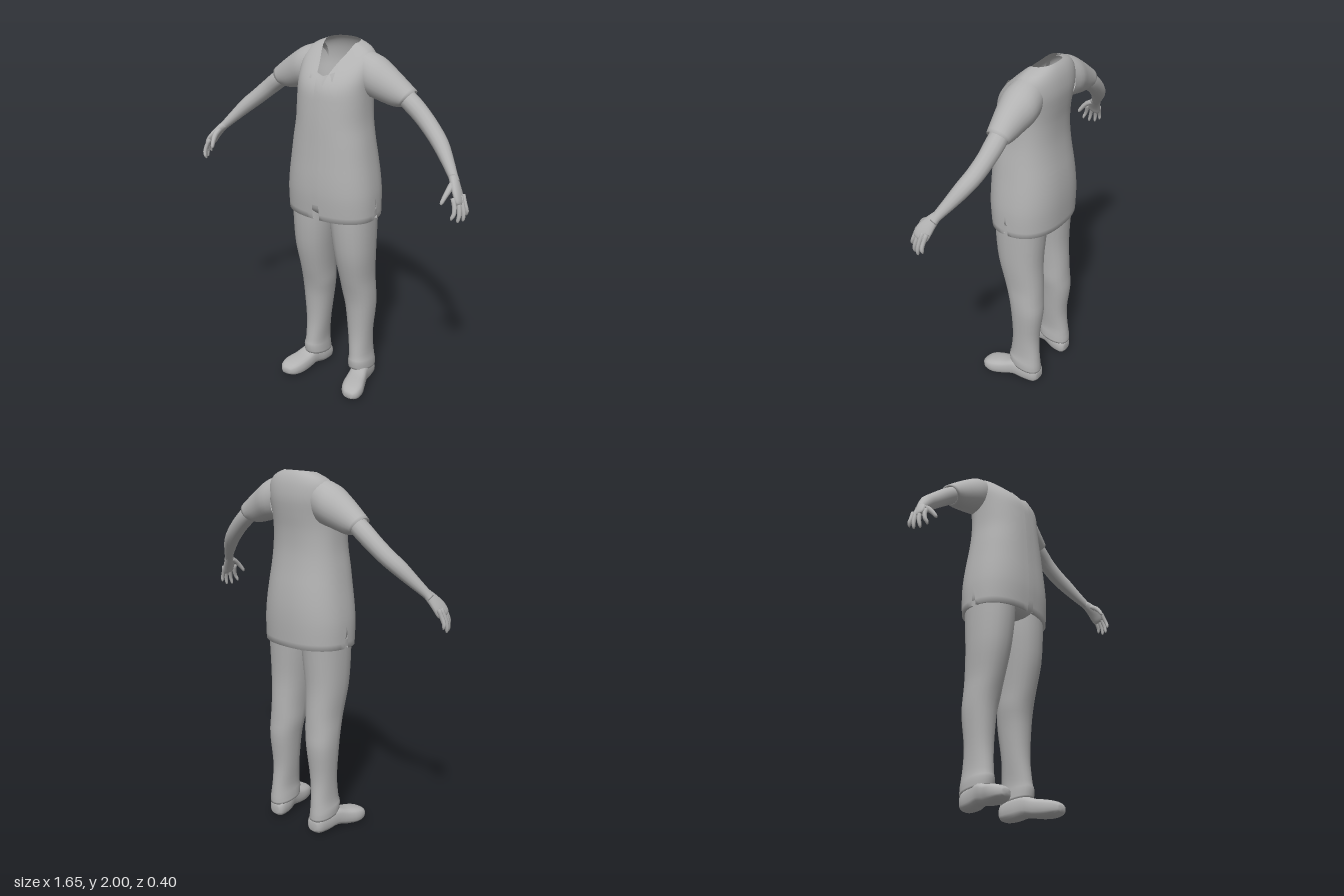
import * as THREE from 'three';
import { mergeGeometries, mergeVertices } from 'three/addons/utils/BufferGeometryUtils.js';

const V = (x, y, z) => new THREE.Vector3(x, y, z);
const PI = Math.PI;

// Skin a list of rings (each an array of points); optionally close and cap them
function loft(rings, closed = true, capStart = false, capEnd = false) {
  const n = rings[0].length, pos = [], idx = [];
  rings.forEach(r => r.forEach(p => pos.push(p.x, p.y, p.z)));
  for (let i = 0; i < rings.length - 1; i++) {
    for (let j = 0; j < (closed ? n : n - 1); j++) {
      const k = (j + 1) % n, a = i * n + j, b = i * n + k;
      idx.push(a, b, a + n, b, b + n, a + n);
    }
  }
  const cap = (i, flip) => {
    const c = V(0, 0, 0);
    rings[i].forEach(p => c.addScaledVector(p, 1 / n));
    const m = pos.length / 3;
    pos.push(c.x, c.y, c.z);
    for (let j = 0; j < n; j++) {
      const a = i * n + j, b = i * n + (j + 1) % n;
      idx.push(m, flip ? b : a, flip ? a : b);
    }
  };
  if (capStart) cap(0, true);
  if (capEnd) cap(rings.length - 1, false);
  const g = new THREE.BufferGeometry();
  g.setAttribute('position', new THREE.Float32BufferAttribute(pos, 3));
  g.setIndex(idx);
  g.computeVertexNormals();
  return g;
}

// Catmull-Rom interpolation of rows of numbers
function smooth(rows, steps = 3) {
  const out = [], at = i => rows[Math.min(Math.max(i, 0), rows.length - 1)];
  for (let i = 0; i < rows.length - 1; i++) {
    for (let s = 0; s < steps; s++) {
      const t = s / steps;
      out.push(rows[i].map((b, k) => {
        const a = at(i - 1)[k], c = at(i + 1)[k], d = at(i + 2)[k];
        return b + 0.5 * t * (c - a + t * (2 * a - 5 * b + 4 * c - d + t * (3 * (b - c) + d - a)));
      }));
    }
  }
  out.push(rows[rows.length - 1]);
  return out;
}

const angles = (n, a = 0, b = 2 * PI) => Array.from({ length: n }, (_, i) => a + (b - a) * i / n);
const power = (v, e) => Math.sign(v) * Math.abs(v) ** e;

// Limb through rows [x, y, z, half width, half thickness]; the width runs near "wide"
function limb(rows, wide = V(0, 0, 1), n = 14, steps = 3) {
  const s = smooth(rows, steps), at = i => V(...s[Math.min(Math.max(i, 0), s.length - 1)].slice(0, 3));
  const rings = s.map((r, i) => {
    const d = at(i + 1).sub(at(i - 1)).normalize();
    const u = wide.clone().addScaledVector(d, -wide.dot(d)).normalize();
    const v = d.clone().cross(u);
    return angles(n).map(a => at(i).addScaledVector(u, r[3] * Math.cos(a)).addScaledVector(v, r[4] * Math.sin(a)));
  });
  return loft(rings, true, true, true);
}

function mirrored(g) {
  const m = g.clone().scale(-1, 1, 1), ix = m.index;
  for (let i = 0; i < ix.count; i += 3) {
    const t = ix.getX(i);
    ix.setX(i, ix.getX(i + 1));
    ix.setX(i + 1, t);
  }
  m.computeVertexNormals();
  return m;
}

// Shirt rows: front y, back y, half width, side z, front z, back z, half opening
const SHIRT = [
  [1.08, 1.08, .26, 0, .18, -.197, .02], [1.2, 1.2, .26, 0, .19, -.202, .02],
  [1.3, 1.3, .25, 0, .19, -.2, .02], [1.4, 1.4, .235, 0, .185, -.19, .02],
  [1.5, 1.5, .22, 0, .18, -.175, .02], [1.6, 1.6, .205, -.01, .175, -.165, .02],
  [1.7, 1.7, .2, -.01, .167, -.167, .02], [1.78, 1.78, .2, -.02, .155, -.177, .02],
  [1.84, 1.86, .205, -.04, .12, -.185, .03], [1.9, 1.93, .2, -.05, .06, -.177, .052],
  [1.95, 1.975, .165, -.06, .005, -.16, .078], [1.985, 2.0, .097, -.07, -.03, -.14, .09],
];

function shirtPoint([yF, yB, rx, zc, zF, zB], a) {
  const c = power(Math.cos(a), .85);
  const z = zc + c * (c > 0 ? zF - zc : zc - zB);
  return V(rx * power(Math.sin(a), .85), yB + (yF - yB) * (z - zB) / (zF - zB), z);
}

function shirtBody() {
  const rows = smooth(SHIRT, 3);
  // hem turned inward
  rows.unshift([1.082, 1.082, .245, 0, .165, -.182, .02]);
  const span = (a, b, n) => [...angles(n, a, b), b];
  const panel = (from, to, n) => loft(rows.map(r => {
    const slit = Math.max(0, 1.2 - r[0]) / .12 * .05;
    const open = Math.asin(Math.min(1, r[6] / r[2]) ** (1 / .85));
    return span(from(open, slit), to(open, slit), n).map(a => shirtPoint(r, a));
  }), false);
  const parts = [
    panel(o => o, (o, s) => PI / 2 - s, 12),
    panel((o, s) => PI / 2 + s, (o, s) => 1.5 * PI - s, 24),
    panel((o, s) => 1.5 * PI + s, o => 2 * PI - o, 12),
  ];
  parts.forEach(p => p.deleteAttribute('normal'));
  const g = mergeVertices(mergeGeometries(parts), 1e-4);
  g.computeVertexNormals();
  return g;
}

// Strip of the undershirt behind the front opening
function underPanel() {
  const rows = smooth(SHIRT.slice(0, 9), 3).filter(r => r[0] >= 1.12);
  return loft(rows.map(r => [-.07, -.035, 0, .035, .07].map(x => {
    const p = shirtPoint(r, Math.asin((Math.abs(x) / r[2]) ** (1 / .85)));
    const rise = r[0] > 1.8 ? Math.abs(x) * .4 : 0;
    return V(x, p.y + rise, p.z - .014);
  })), false);
}

// Sleeve rows: top x, y, bottom x, y, centre z, half depth
function sleeveShape() {
  const rows = smooth([
    [.13, 1.965, .16, 1.73, -.065, .09], [.225, 1.937, .2, 1.725, -.065, .1],
    [.3, 1.89, .265, 1.708, -.065, .085], [.37, 1.838, .32, 1.697, -.067, .071],
    [.43, 1.79, .362, 1.7, -.07, .06],
  ]);
  rows.push([.42, 1.785, .362, 1.71, -.07, .05]);
  return loft(rows.map(([tx, ty, bx, by, z, rz]) => angles(24).map(a => V(
    (tx + bx) / 2 + (tx - bx) / 2 * Math.cos(a),
    (ty + by) / 2 + (ty - by) / 2 * Math.cos(a),
    z + rz * Math.sin(a)))));
}

// Trouser leg rows: y, inner x, outer x, front z, back z
function legShape() {
  const rows = smooth([
    [.095, .09, .222, .045, -.15], [.14, .092, .222, .05, -.148], [.2, .095, .212, .042, -.14],
    [.33, .08, .213, .03, -.132], [.5, .06, .226, .038, -.15], [.6, .045, .227, .055, -.146],
    [.7, .04, .225, .082, -.142], [.85, .025, .236, .118, -.136], [1.0, .008, .24, .135, -.145],
    [1.12, 0, .24, .14, -.155],
  ]);
  rows.unshift([.1, .1, .212, .035, -.14]);
  return loft(rows.map(([y, xi, xo, zf, zb]) => angles(22).map(a => {
    const z = (zf + zb) / 2 + (zf - zb) / 2 * power(Math.cos(a), .9);
    const tilt = y < .16 ? (z + .05) * .16 : 0;
    return V((xi + xo) / 2 + (xo - xi) / 2 * power(Math.sin(a), .9), y + tilt, z);
  })));
}

// Shoe rows: z, centre x, half width, bottom y, top y
function shoeShape() {
  const rows = smooth([
    [-.147, .15, .028, .02, .07], [-.125, .152, .052, .002, .1], [-.06, .16, .058, .002, .12],
    [0, .175, .054, .014, .125], [.06, .19, .06, .004, .105], [.12, .206, .066, 0, .094],
    [.17, .215, .054, .008, .08], [.197, .219, .026, .024, .058],
  ]);
  return loft(rows.map(([z, x, w, y0, y1]) => angles(20).map(a => V(
    x + w * power(Math.cos(a), .75), (y0 + y1) / 2 + (y1 - y0) / 2 * power(Math.sin(a), .7), z))), true, true, true);
}

// Hips closing the trousers beneath the shirt
function hipShape() {
  const rows = smooth([[1.06, .1, .05], [1.075, .18, .11], [1.12, .236, .148], [1.2, .238, .155], [1.32, .215, .14]]);
  return loft(rows.map(([y, rx, rz]) => angles(24).map(a =>
    V(rx * Math.sin(a), y, -.008 + rz * Math.cos(a)))), true, true, true);
}

export function createModel() {
  const group = new THREE.Group();
  const grey = new THREE.MeshStandardMaterial({ color: 0xb2b2b2, side: THREE.DoubleSide });
  grey.name = 'plainGrey';

  const add = (name, g) => {
    const m = new THREE.Mesh(g, grey);
    m.name = name;
    group.add(m);
  };
  const pair = (name, g) => {
    add('left' + name, g);
    add('right' + name, mirrored(g));
  };

  add('shirt', shirtBody());
  add('undershirt', underPanel());
  add('hips', hipShape());
  pair('Sleeve', sleeveShape());
  pair('TrouserLeg', legShape());
  pair('Shoe', shoeShape());

  // Bare arm down to the wrist
  pair('Arm', limb([
    [.33, 1.785, -.07, .045, .045], [.41, 1.728, -.07, .05, .048], [.48, 1.672, -.065, .046, .046],
    [.55, 1.612, -.048, .045, .043], [.61, 1.56, -.022, .042, .04], [.67, 1.497, .015, .033, .031],
    [.72, 1.442, .05, .025, .023], [.74, 1.42, .062, .027, .02],
  ]));

  // Palm, four fingers and thumb
  const wide = V(.1, .1, 1);
  pair('Palm', limb([
    [.718, 1.445, .05, .024, .022], [.742, 1.415, .07, .034, .021], [.77, 1.375, .092, .044, .019],
    [.787, 1.342, .104, .042, .016], [.792, 1.332, .107, .03, .01],
  ], wide));
  [[.774, .142, .78, .165, 1.268], [.785, .117, .8, .137, 1.25],
    [.792, .093, .813, .106, 1.25], [.793, .07, .815, .075, 1.272]].forEach(([x, z, tx, tz, ty], i) => {
    pair('Finger' + (i + 1), limb([
      [x - .008, 1.37, z - .006, .012, .012], [x + .008, 1.33, z + .004, .0115, .012],
      [(x + tx) / 2 + .01, (1.33 + ty) / 2, (z + tz) / 2 + .004, .0105, .011],
      [tx, ty + .012, tz, .0085, .009], [tx - .002, ty, tz, .004, .004],
    ], wide, 8, 2));
  });
  pair('Thumb', limb([
    [.735, 1.425, .075, .016, .015], [.735, 1.4, .118, .016, .015], [.728, 1.368, .148, .012, .012],
    [.722, 1.345, .163, .01, .01], [.72, 1.335, .168, .004, .004],
  ], V(1, 0, 0), 8, 2));

  return group;
}
